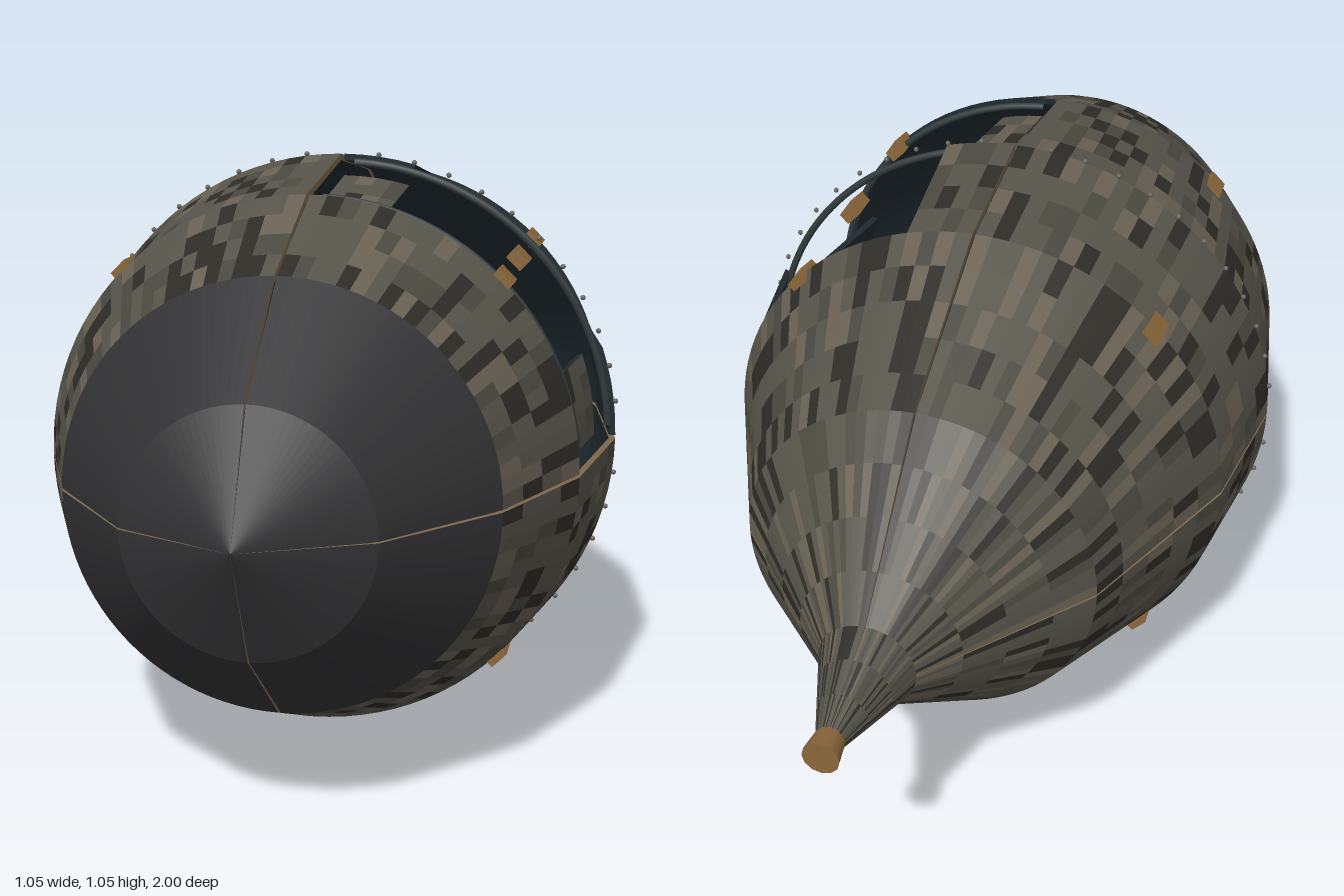
import * as THREE from 'three';
import { mergeGeometries } from 'three/addons/utils/BufferGeometryUtils.js';

const CY = 0.528, COLS = 24, GAP = 0.006, WALL = 0.012;
// hull profile from nose to tail: [z, radius]
const PROFILE = [[1, 0.002], [0.9, 0.205], [0.69, 0.37], [0.44, 0.475], [0.13, 0.521],
  [-0.15, 0.48], [-0.5, 0.325], [-0.78, 0.086], [-0.96, 0.024]];
const ROWS = [1, 1, 4, 5, 4, 5, 4, 3];
const COLORS = { tileBase: 0x56544a, tileDark: 0x2e2c27, tileLight: 0x696153, tileMid: 0x4a4940,
  nose: 0x323234, lining: 0x1f2a2f, panelEdge: 0x7d684c };

const point = (z, r, a) => [r * Math.cos(a), CY + r * Math.sin(a), z];

function seeded(seed) {
  return () => {
    seed = (seed * 1664525 + 1013904223) % 4294967296;
    return seed / 4294967296;
  };
}

function quad(list, a, b, c, d) {
  list.push(...a, ...b, ...c, ...a, ...c, ...d);
}

// one quarter of the hull, sorted into lists of faces by colour
function buildQuarter(q, rand) {
  const faces = Object.fromEntries(Object.keys(COLORS).map(k => [k, []]));
  const start = q * Math.PI / 2 + GAP;
  const step = (Math.PI / 2 - 2 * GAP) / COLS;
  const angle = j => start + j * step;

  for (let band = 0; band < ROWS.length; band++) {
    let [[z0, r0], [z1, r1]] = [PROFILE[band], PROFILE[band + 1]];
    // the front hatch panel sits sunk below the hull
    if (q === 0 && band === 3) { r0 -= 0.04; r1 -= 0.04; }
    const hatch = q === 0 && (band === 3 || band === 4);
    const solid = j => j >= 0 && j < COLS && !(hatch && j >= 5 && j < 20);
    const i0 = Math.max(r0 - WALL, 0.001), i1 = Math.max(r1 - WALL, 0.001);

    for (let j = 0; j <= COLS; j++) {
      const a = angle(j), b = angle(j + 1);
      // edge walls beside seams and the hatch opening
      if (solid(j) !== solid(j - 1)) {
        const kind = j === 0 || j === COLS ? 'panelEdge' : 'lining';
        quad(faces[kind], point(z0, r0, a), point(z1, r1, a), point(z1, i1, a), point(z0, i0, a));
      }
      if (!solid(j)) continue;

      // outer tiles
      for (let k = 0; k < ROWS[band]; k++) {
        const t0 = k / ROWS[band], t1 = (k + 1) / ROWS[band];
        const za = z0 + (z1 - z0) * t0, zb = z0 + (z1 - z0) * t1;
        const ra = r0 + (r1 - r0) * t0, rb = r0 + (r1 - r0) * t1;
        const n = rand();
        const tile = n < 0.5 ? 'tileBase' : n < 0.7 ? 'tileDark' : n < 0.85 ? 'tileLight' : 'tileMid';
        quad(faces[band < 2 ? 'nose' : tile],
          point(za, ra, a), point(zb, rb, a), point(zb, rb, b), point(za, ra, b));
      }
      // inner lining
      quad(faces.lining, point(z0, i0, a), point(z0, i0, b), point(z1, i1, b), point(z1, i1, a));
      // end rims around the hatch
      if (q === 0 && band >= 2 && band <= 5) {
        for (const [z, r, i] of [[z0, r0, i0], [z1, r1, i1]])
          quad(faces.lining, point(z, r, a), point(z, r, b), point(z, i, b), point(z, i, a));
      }
    }
  }
  return faces;
}

export function createModel() {
  const model = new THREE.Group();
  model.name = 'pod';
  const add = (name, geometry, material, parent = model) => {
    const mesh = new THREE.Mesh(geometry, material);
    mesh.name = name;
    parent.add(mesh);
    return mesh;
  };
  const mat = (color, side = THREE.FrontSide) => new THREE.MeshStandardMaterial({ color, side });
  const hullMats = Object.fromEntries(Object.entries(COLORS).map(([k, c]) =>
    [k, mat(c, k === 'lining' || k === 'panelEdge' ? THREE.DoubleSide : THREE.FrontSide)]));

  // tiled hull in four quarters with narrow seams
  const rand = seeded(17);
  const names = ['upperLeft', 'upperRight', 'lowerRight', 'lowerLeft'];
  for (let q = 0; q < 4; q++) {
    const quarter = new THREE.Group();
    quarter.name = names[q] + 'Hull';
    for (const [kind, list] of Object.entries(buildQuarter(q, rand))) {
      const g = new THREE.BufferGeometry();
      g.setAttribute('position', new THREE.Float32BufferAttribute(list, 3));
      g.computeVertexNormals();
      add(kind, g, hullMats[kind], quarter);
    }
    model.add(quarter);
  }

  // curved hatch rails
  const railMat = mat(0x333b3d);
  for (const [z, r] of [[0.13, 0.506], [0.415, 0.468]]) {
    const rail = add('hatchRail', new THREE.TorusGeometry(r, 0.007, 6, 40, Math.PI / 2 - 0.09), railMat);
    rail.position.set(0, CY, z);
    rail.rotation.z = 0.045;
  }

  // ring of small studs round the widest part
  const studs = [];
  for (let i = 0; i < 48; i++) {
    if (i % 12 === 0) continue;
    studs.push(new THREE.SphereGeometry(0.005, 8, 6).translate(...point(0.13, 0.524, i * Math.PI / 24)));
  }
  add('studs', mergeGeometries(studs), mat(0x6a6660));

  // brass clips at the middle of each quarter
  const brass = mat(0x8a673a);
  for (let q = 0; q < 4; q++) {
    const a = Math.PI / 4 + q * Math.PI / 2;
    for (const z of q === 0 ? [0.415, 0.135, -0.145] : [0.415, -0.145]) {
      const clip = add('clip', new THREE.BoxGeometry(0.024, 0.036, 0.062), brass);
      clip.position.set(...point(z, 0.473, a));
      clip.rotation.z = a;
    }
  }

  // tail cap
  const cap = add('tailCap', new THREE.CylinderGeometry(0.024, 0.032, 0.06, 12), brass);
  cap.rotation.x = Math.PI / 2;
  cap.position.set(0, CY, -0.97);
  return model;
}
